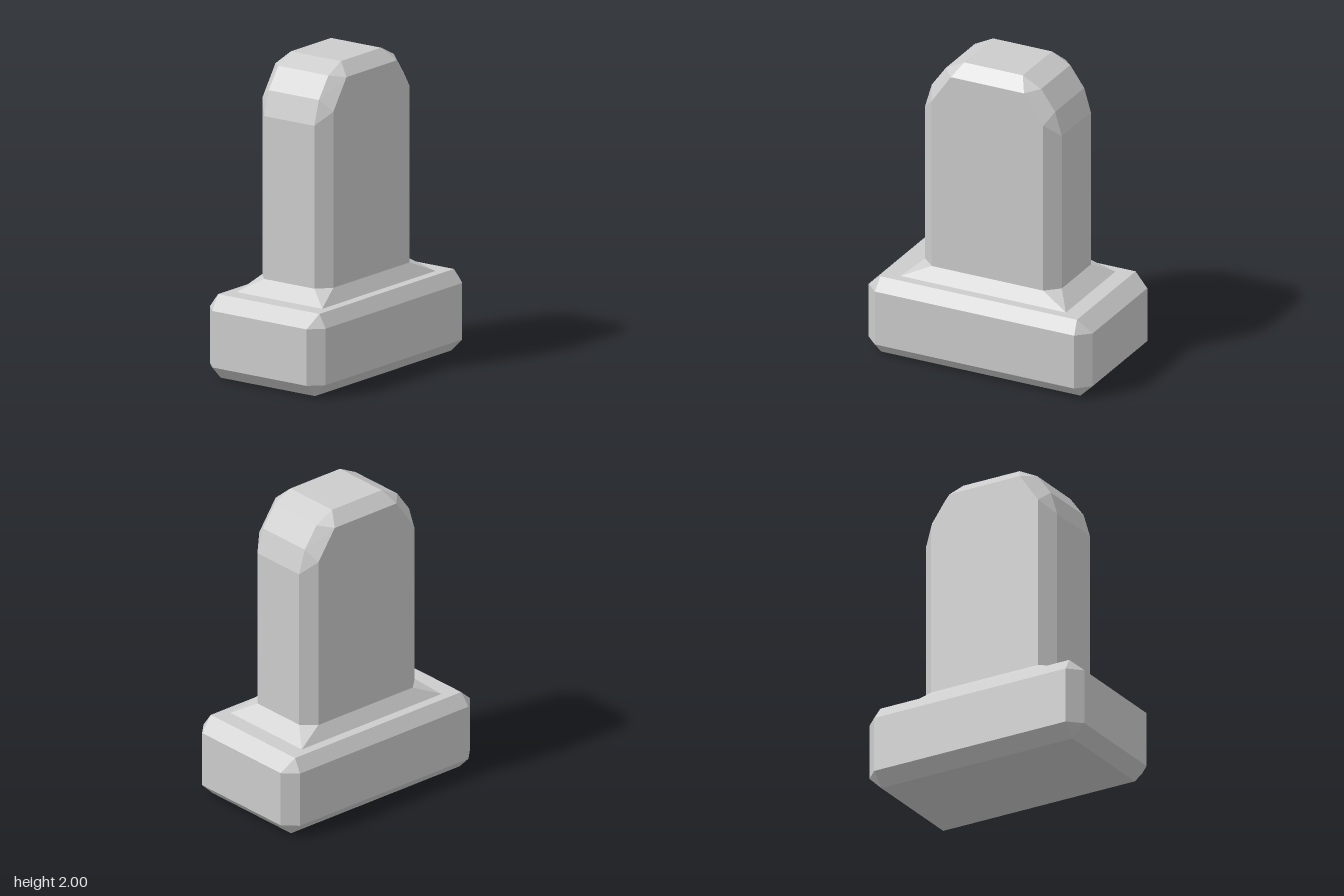
import * as THREE from 'three';
import { ConvexGeometry } from 'three/addons/geometries/ConvexGeometry.js';

// Mirror points over x and z, then wrap them in a faceted hull
function mirroredHull(points) {
  const all = [];
  for (const [x, y, z] of points)
    for (const sx of [1, -1])
      for (const sz of [1, -1]) all.push(new THREE.Vector3(x * sx, y, z * sz));
  return new ConvexGeometry(all);
}

export function createModel() {
  const group = new THREE.Group();
  const stone = new THREE.MeshStandardMaterial({ color: 0xcccccc, flatShading: true });
  stone.name = 'light grey stone';

  const add = (name, points) => {
    const mesh = new THREE.Mesh(mirroredHull(points), stone);
    mesh.name = name;
    group.add(mesh);
  };

  // Chamfered plinth block
  add('plinth', [
    [0.69, 0, 0.365],
    [0.775, 0.083, 0.365], [0.69, 0.083, 0.448],
    [0.775, 0.442, 0.365], [0.69, 0.442, 0.448],
    [0.68, 0.525, 0.392],
  ]);

  // Sloped skirt between plinth and slab
  add('skirt', [
    [0.572, 0.525, 0.331],
    [0.473, 0.61, 0.194], [0.386, 0.61, 0.275],
  ]);

  // Upright slab: bevelled rim profile, then the front and back face outline
  const rim = [[0.473, 0.61], [0.473, 1.645], [0.427, 1.8], [0.33, 1.935], [0.203, 2]];
  const face = [[0.386, 0.61], [0.386, 1.73], [0.253, 1.922]];
  add('slab', [
    ...rim.map(([x, y]) => [x, y, 0.194]),
    ...face.map(([x, y]) => [x, y, 0.275]),
  ]);

  return group;
}
